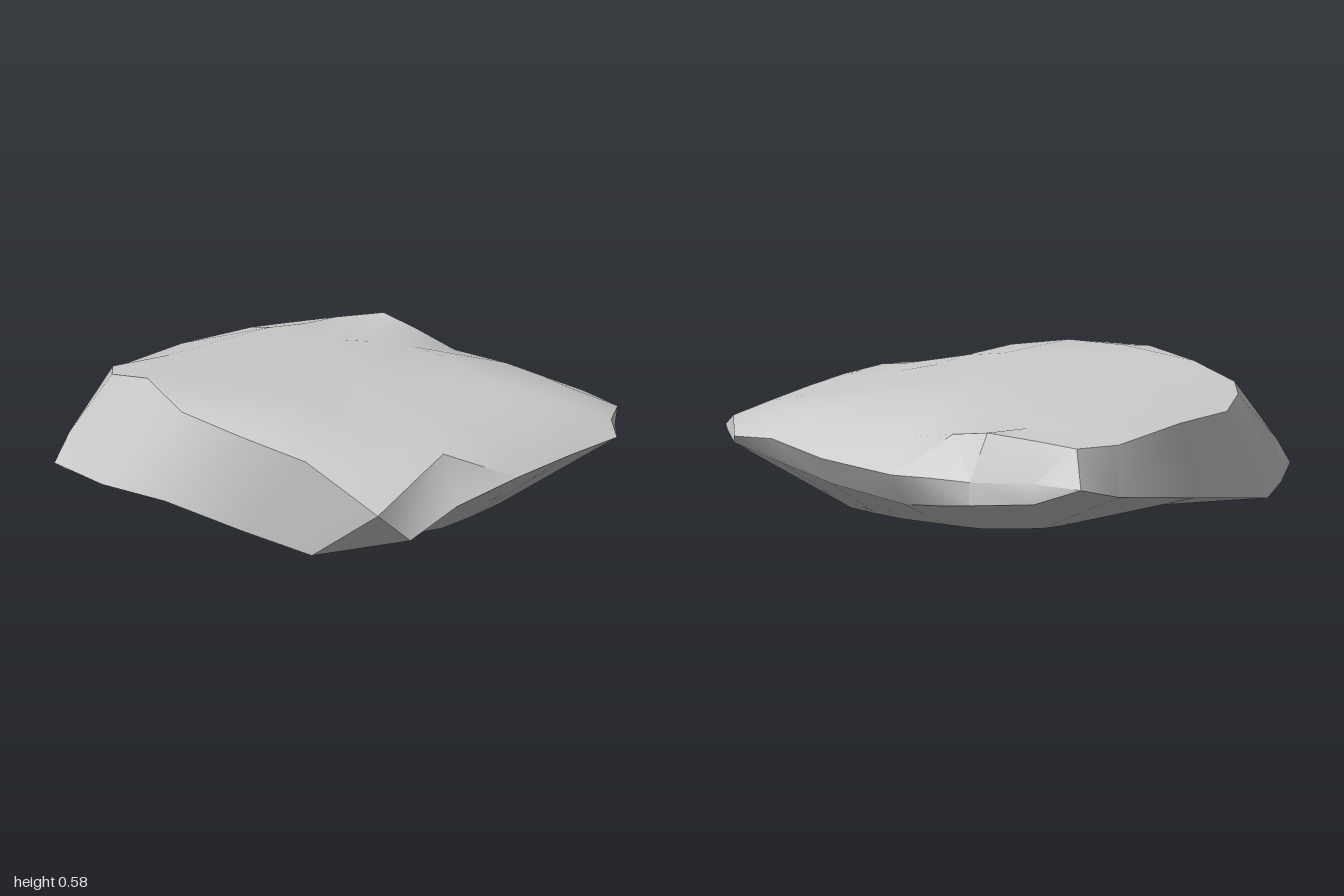
import * as THREE from 'three';
import { toCreasedNormals } from 'three/addons/utils/BufferGeometryUtils.js';

// Rim corners, running anticlockwise seen from above, starting at the model's right front corner
const upperRim = [
  [-0.8, 0.52, 0.56], [-0.55, 0.57, 0.64], [-0.17, 0.56, 0.89], [0.17, 0.53, 0.93],
  [0.5, 0.485, 0.92], [0.86, 0.32, 0.9], [0.81, 0.46, 0.42], [1, 0.34, 0.18],
  [0.98, 0.345, -0.18], [0.95, 0.335, -0.52], [0.88, 0.385, -0.57], [0.71, 0.35, -0.82],
  [0.5, 0.365, -0.86], [0.2, 0.325, -0.95], [-0.17, 0.3, -1], [-0.37, 0.465, -0.85],
  [-0.55, 0.49, -0.87], [-0.72, 0.46, -0.78], [-0.87, 0.43, -0.7], [-0.96, 0.43, -0.53],
  [-0.975, 0.46, -0.1], [-0.975, 0.46, 0.24], [-0.91, 0.5, 0.42],
];
const lowerRim = [
  [-0.93, 0.17, 0.77], [-0.55, 0.19, 0.93], [-0.17, 0.21, 1], [0.17, 0.125, 0.91],
  [0.5, 0.08, 0.88], [0.875, 0.175, 0.71], [0.92, 0.27, 0.47], [1, 0.34, 0.18],
  [0.98, 0.345, -0.18], [0.95, 0.335, -0.52], [0.91, 0.325, -0.57], [0.77, 0.305, -0.73],
  [0.5, 0.26, -0.8], [0.2, 0.21, -0.87], [-0.17, 0.165, -0.9], [-0.36, 0.185, -0.95],
  [-0.55, 0.21, -1], [-0.77, 0.215, -0.863], [-0.95, 0.28, -0.79], [-0.975, 0.22, -0.55],
  [-0.98, 0.14, 0], [-1, 0.07, 0.5], [-0.96, 0.11, 0.66],
];

// Ledge that splits the sides at the front corner and the chipped back corner
const ledge = {
  0: [-0.925, 0.28, 0.68], 14: [-0.17, 0.3, -1], 15: [-0.36, 0.305, -1],
  16: [-0.55, 0.305, -1], 17: [-0.77, 0.3, -0.863],
};
const middleRim = lowerRim.map((p, i) => ledge[i] ?? p);

// Height rules: the upper face rolls down at the back and at one front corner
const topHeight = (x, z) =>
  0.545 - 0.1 * x * x + 0.05 * z - 0.03 * x
  - 0.8 * Math.max(0, -z - 0.5) ** 2
  - 0.25 * (Math.max(0, x) * Math.max(0, z)) ** 2;
const baseHeight = (x, z) => 0.07 * (x * x + z * z);

// Shrink a rim towards the middle and lay it on a height rule
const inset = (rim, t, height) =>
  rim.map(([x, , z]) => [x * t, height(x * t, z * t), z * t]);

// Skin a list of closed rings along the shorter diagonals, leaving out faces with no area
function loft(rings) {
  const n = rings[0].length;
  const index = [];
  const points = rings.flat().map((p) => new THREE.Vector3(...p));
  const gap = (a, b) => points[a].distanceTo(points[b]);
  const face = (a, b, c) => {
    if (new THREE.Triangle(points[a], points[b], points[c]).getArea() > 1e-6) index.push(a, b, c);
  };
  for (let r = 0; r < rings.length - 1; r++) {
    for (let i = 0; i < n; i++) {
      const j = (i + 1) % n;
      const a = r * n + i, b = r * n + j, c = a + n, d = b + n;
      if (gap(a, d) < gap(b, c)) {
        face(a, b, d);
        face(a, d, c);
      } else {
        face(a, b, c);
        face(b, d, c);
      }
    }
  }
  const geometry = new THREE.BufferGeometry().setFromPoints(points);
  geometry.setIndex(index);
  return geometry;
}

export function createModel() {
  const group = new THREE.Group();
  group.name = 'flatRock';
  const material = new THREE.MeshStandardMaterial({ color: 0xcccccc });
  const add = (name, rings, crease) => {
    const mesh = new THREE.Mesh(toCreasedNormals(loft(rings), crease), material);
    mesh.name = name;
    group.add(mesh);
  };

  // Smooth, slightly domed upper face
  add('upperFace', [
    upperRim,
    ...[0.82, 0.5, 0].map((t) => inset(upperRim, t, topHeight)),
  ], 1.2);

  // Chipped sides with sharp corners
  add('sides', [lowerRim, middleRim, upperRim], 0.6);

  // Shallow bowl-shaped underside
  add('underside', [
    ...[0, 0.3, 0.55].map((t) => inset(lowerRim, t, baseHeight)),
    lowerRim,
  ], 1.2);

  return group;
}
